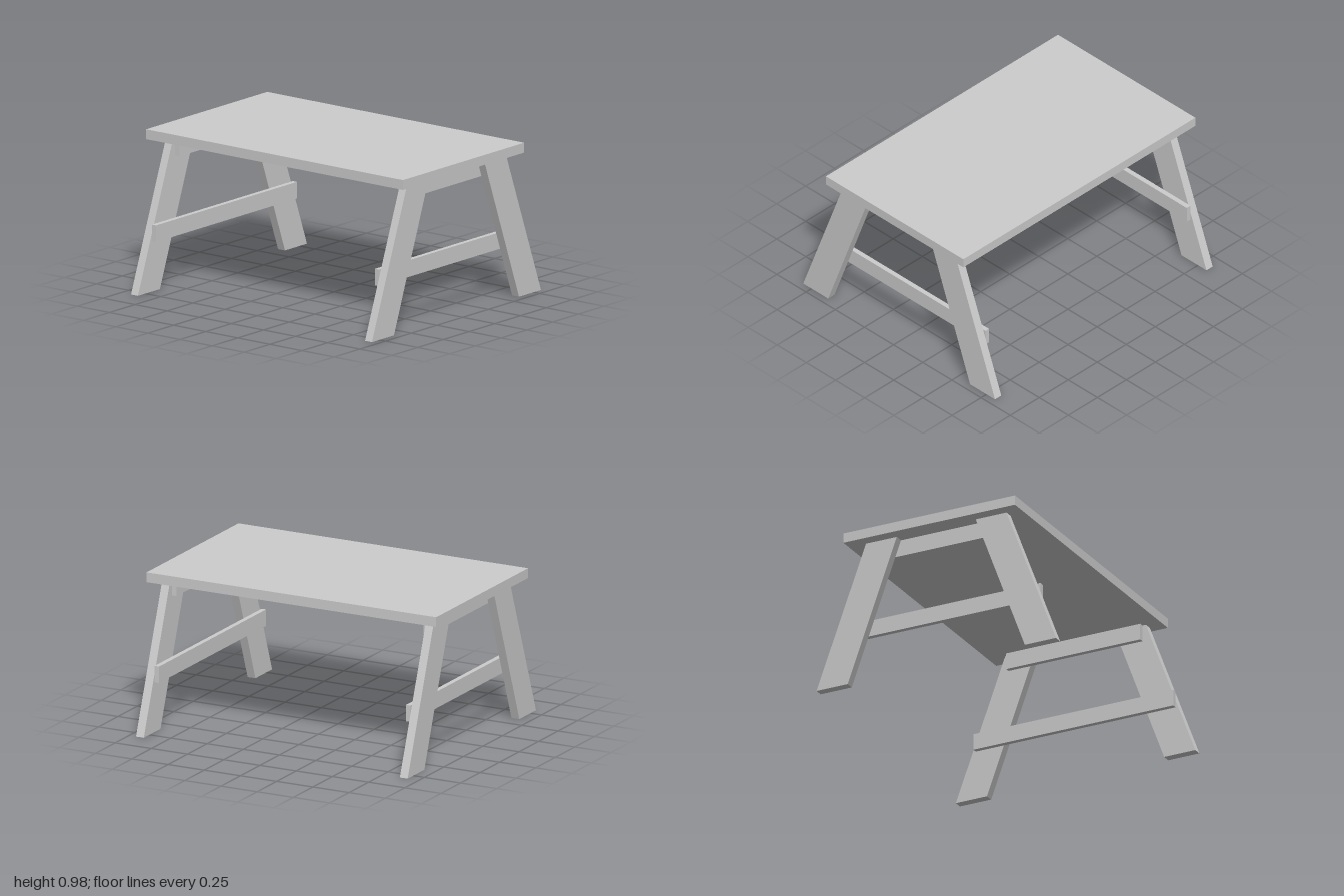
import * as THREE from 'three';

const material = new THREE.MeshStandardMaterial({ color: 0xcccccc, flatShading: true });

// Box given by its lower and upper limits on each axis
function board(name, [x0, x1], [y0, y1], [z0, z1]) {
  const mesh = new THREE.Mesh(new THREE.BoxGeometry(x1 - x0, y1 - y0, z1 - z0), material);
  mesh.name = name;
  mesh.position.set((x0 + x1) / 2, (y0 + y1) / 2, (z0 + z1) / 2);
  return mesh;
}

// Slanted plank, cut level at floor and tabletop; side is +1 front, -1 back
function leg(name, [x0, x1], side) {
  const shape = new THREE.Shape(
    [[0.822, 0], [0.608, 0], [0.271, 0.914], [0.482, 0.914]]
      .map(([z, y]) => new THREE.Vector2(-z * side, y)));
  const geometry = new THREE.ExtrudeGeometry(shape, { depth: x1 - x0, bevelEnabled: false });
  geometry.rotateY(Math.PI / 2); // extrusion runs along +x, shape x becomes -z
  const mesh = new THREE.Mesh(geometry, material);
  mesh.name = name;
  mesh.position.x = x0;
  return mesh;
}

export function createModel() {
  const table = new THREE.Group();
  table.name = 'foldingTable';
  table.add(board('tabletop', [-1, 1], [0.914, 0.976], [-0.598, 0.58]));

  // Two trestles: a pair of splayed legs with two braces on the inner face
  const trestles = [
    { side: 'right', legX: [-0.924, -0.87], braceX: [-0.87, -0.838] },
    { side: 'left', legX: [0.898, 0.952], braceX: [0.867, 0.898] },
  ];
  for (const { side, legX, braceX } of trestles) {
    const trestle = new THREE.Group();
    trestle.name = `${side}Trestle`;
    trestle.add(
      leg('frontLeg', legX, 1),
      leg('backLeg', legX, -1),
      board('upperBrace', braceX, [0.808, 0.913], [-0.46, 0.46]),
      board('lowerBrace', braceX, [0.316, 0.42], [-0.685, 0.687]),
    );
    table.add(trestle);
  }
  return table;
}
